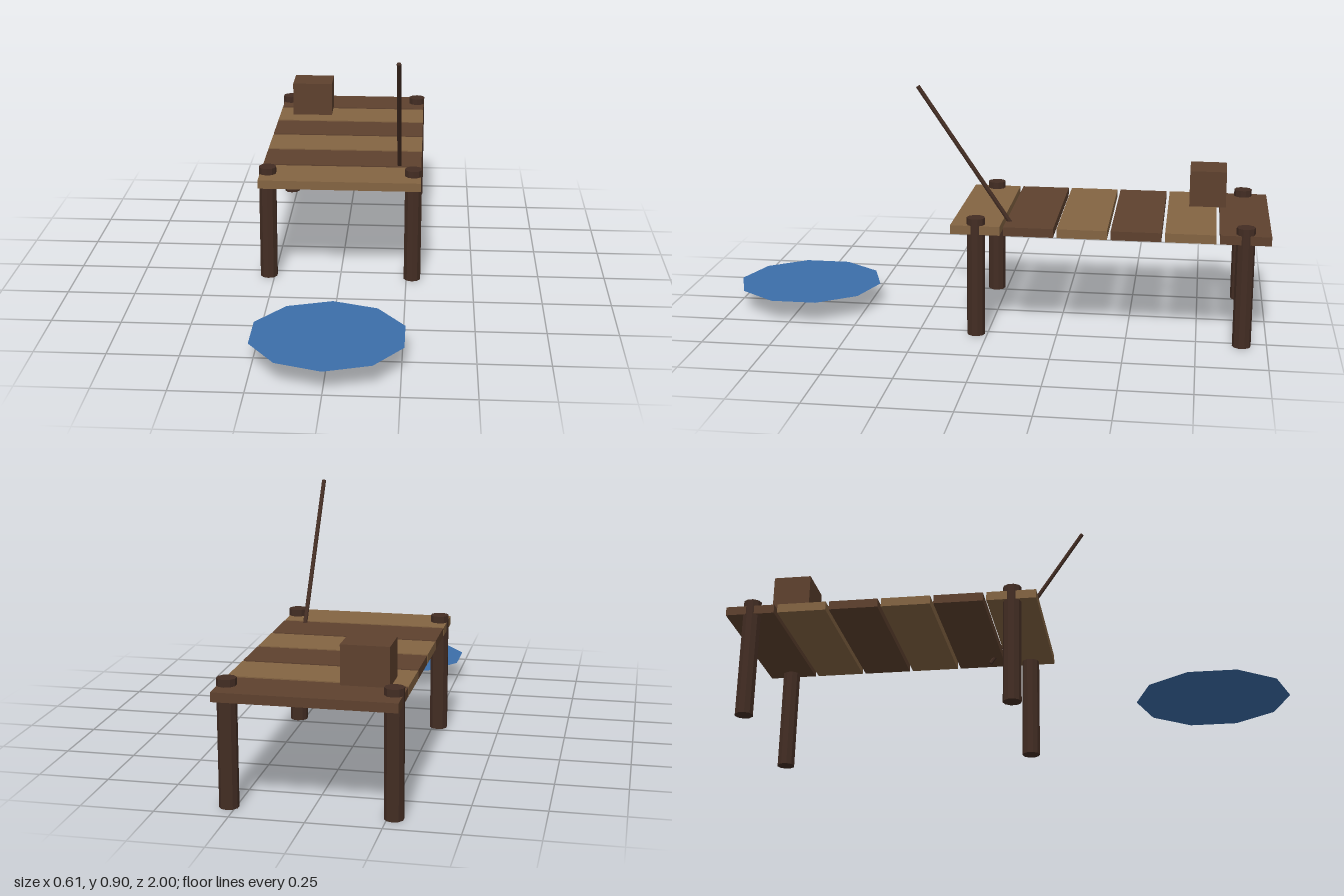
import * as THREE from 'three';

const material = (name, color, extra = {}) => {
  const m = new THREE.MeshStandardMaterial({ color, flatShading: true, ...extra });
  m.name = name;
  return m;
};

export function createModel() {
  const group = new THREE.Group();
  const lightWood = material('light wood', 0x846442);
  const darkWood = material('dark wood', 0x5e412e);
  const postWood = material('post wood', 0x432d23);
  const water = material('water blue', 0x3c6ea9, { side: THREE.DoubleSide });

  const add = (name, geometry, mat, x, y, z) => {
    const mesh = new THREE.Mesh(geometry, mat);
    mesh.name = name;
    mesh.position.set(x, y, z);
    group.add(mesh);
    return mesh;
  };

  // Deck: six planks in alternating browns, front to back
  const frontZ = 0.041, pitch = 0.1904;
  const plank = new THREE.BoxGeometry(0.6, 0.032, 0.178);
  for (let i = 0; i < 6; i++) {
    add('plank', plank, i % 2 ? darkWood : lightWood, 0, 0.396, frontZ - i * pitch);
  }

  // Posts poke through the deck at its corners
  const post = new THREE.CylinderGeometry(0.033, 0.033, 0.437, 10);
  for (const x of [-0.272, 0.272]) {
    for (const z of [frontZ, frontZ - 5 * pitch]) add('post', post, postWood, x, 0.2185, z);
  }

  // Crate at the back of the deck
  add('crate', new THREE.BoxGeometry(0.162, 0.135, 0.135), darkWood, -0.164, 0.479, -0.777);

  // Fishing rod leaning out over the front
  const from = new THREE.Vector3(0.217, 0.36, -0.108);
  const to = new THREE.Vector3(0.217, 0.896, 0.256);
  const along = to.clone().sub(from);
  const rod = add('fishingRod', new THREE.CylinderGeometry(0.008, 0.008, along.length(), 8),
    postWood, 0, 0, 0);
  rod.position.copy(from).add(to).multiplyScalar(0.5);
  rod.quaternion.setFromUnitVectors(new THREE.Vector3(0, 1, 0), along.normalize());

  // Ten-sided patch of water in front
  const pool = new THREE.CircleGeometry(0.272, 10, Math.PI / 2).rotateX(-Math.PI / 2);
  add('waterPatch', pool, water, 0, 0.083, 0.728);

  return group;
}
